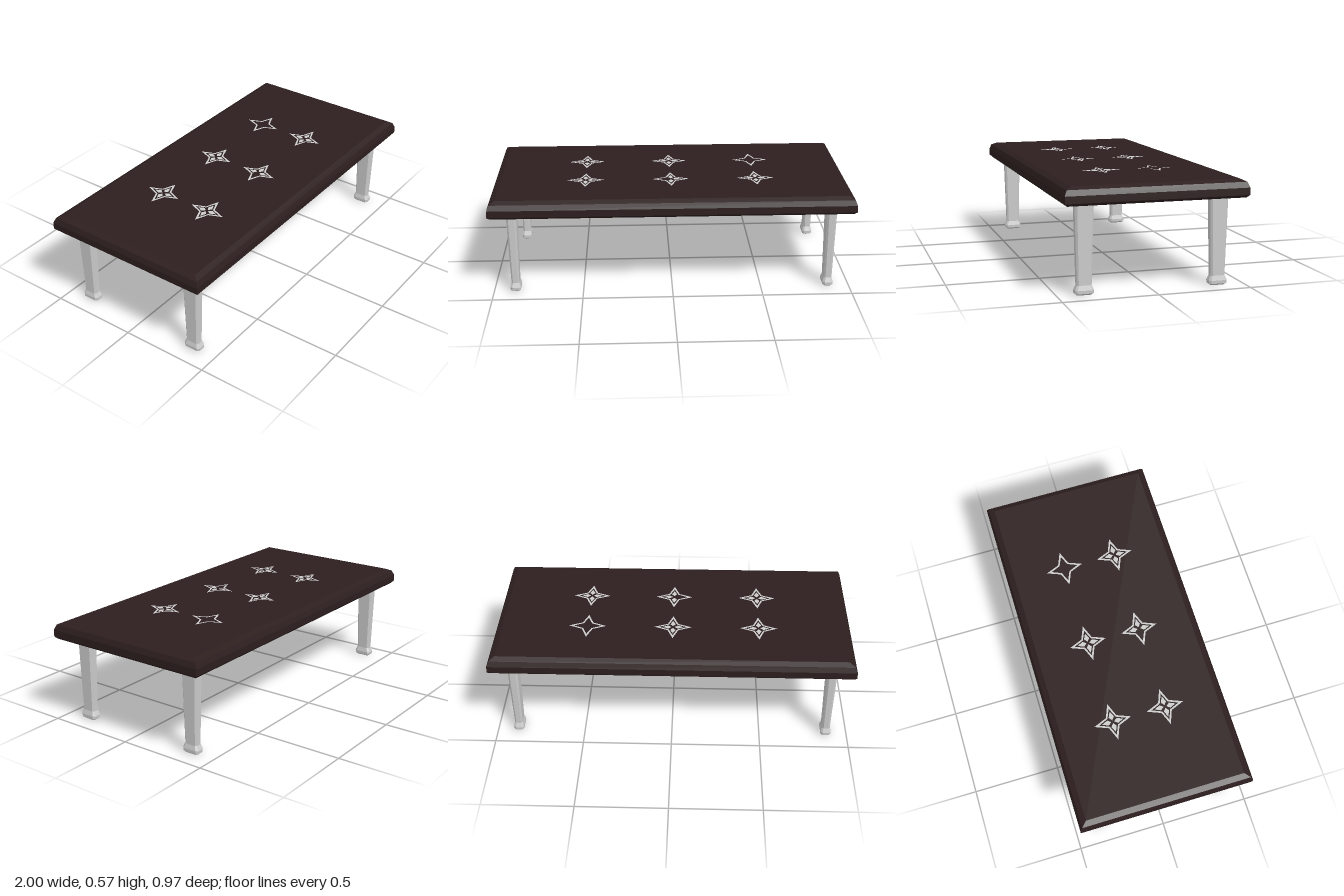
import * as THREE from 'three';

const grey = new THREE.MeshStandardMaterial({ color: 0xcccccc, flatShading: true });
const inlayGrey = new THREE.MeshStandardMaterial({ color: 0xcccccc, side: THREE.DoubleSide });
const darkWood = new THREE.MeshStandardMaterial({ color: 0x2d1e1e, flatShading: true });

// Rectangle outline with cut corners, as [x, z] points
function outline(hx, hz, cut = 0) {
  if (!cut) return [[hx, hz], [hx, -hz], [-hx, -hz], [-hx, hz]];
  return [
    [hx, hz - cut], [hx, cut - hz], [hx - cut, -hz], [cut - hx, -hz],
    [-hx, cut - hz], [-hx, hz - cut], [cut - hx, hz], [hx - cut, hz],
  ];
}

// Closed solid through stacked outlines, listed from bottom to top
function loft(levels) {
  const n = levels[0].points.length;
  const pos = levels.flatMap(({ y, points }) => points.flatMap(([x, z]) => [x, y, z]));
  const index = [];
  for (let k = 0; k < levels.length - 1; k++) {
    for (let i = 0; i < n; i++) {
      const j = (i + 1) % n, a = k * n + i, b = k * n + j;
      index.push(a, b, b + n, a, b + n, a + n);
    }
  }
  const top = (levels.length - 1) * n;
  for (let i = 1; i < n - 1; i++) {
    index.push(0, i + 1, i, top, top + i, top + i + 1);
  }
  const g = new THREE.BufferGeometry();
  g.setAttribute('position', new THREE.Float32BufferAttribute(pos, 3));
  g.setIndex(index);
  const flat = g.toNonIndexed();
  flat.computeVertexNormals();
  return flat;
}

// Four-pointed star points: tips at radius tip, valleys at (v, v)
function starPoints(tip, v) {
  const pts = [];
  for (let i = 0; i < 4; i++) {
    const a = i * Math.PI / 2;
    pts.push(new THREE.Vector2(Math.cos(a) * tip, Math.sin(a) * tip));
    const d = a + Math.PI / 4, r = v * Math.SQRT2;
    pts.push(new THREE.Vector2(Math.cos(d) * r, Math.sin(d) * r));
  }
  return pts;
}

function flatShape(shape) {
  return new THREE.ShapeGeometry(shape).rotateX(-Math.PI / 2);
}

export function createModel() {
  const model = new THREE.Group();
  model.name = 'coffeeTable';

  // Table top with bevelled edges: [y, inset]
  const edge = [[0.47, 0.014], [0.484, 0], [0.522, 0], [0.551, 0.012], [0.565, 0.042]];
  const top = new THREE.Mesh(
    loft(edge.map(([y, d]) => ({ y, points: outline(1 - d, 0.485 - d) }))), darkWood);
  top.name = 'tableTop';
  model.add(top);

  // Tapered legs with flared feet: [y, half width, half depth]
  const profile = [
    [0, 0.02, 0.038], [0.008, 0.028, 0.049], [0.025, 0.029, 0.05],
    [0.05, 0.022, 0.039], [0.475, 0.028, 0.05],
  ];
  const legGeometry = loft(profile.map(([y, hx, hz]) => ({ y, points: outline(hx, hz, hx * 0.4) })));
  for (const sx of [-1, 1]) {
    for (const sz of [-1, 1]) {
      const leg = new THREE.Mesh(legGeometry, grey);
      leg.name = `${sz > 0 ? 'front' : 'back'}${sx > 0 ? 'Left' : 'Right'}Leg`;
      leg.position.set(sx * 0.88, 0, sz * 0.36);
      model.add(leg);
    }
  }

  // Star inlays: an outlined star with up to four kites inside
  const ring = new THREE.Shape(starPoints(0.105, 0.03));
  ring.holes.push(new THREE.Path(starPoints(0.077, 0.023).reverse()));
  const ringGeometry = flatShape(ring);
  const kiteGeometry = flatShape(new THREE.Shape(
    [[0.008, 0], [0.027, -0.015], [0.06, 0], [0.027, 0.015]].map(p => new THREE.Vector2(...p))));

  for (const x of [-0.48, 0, 0.48]) {
    for (const z of [-0.15, 0.15]) {
      const star = new THREE.Group();
      star.name = 'starInlay';
      star.position.set(x, 0.5665, z);
      const border = new THREE.Mesh(ringGeometry, inlayGrey);
      border.name = 'starBorder';
      star.add(border);
      for (let i = 0; i < 4; i++) {
        // One star is empty and another lacks its -x kite
        if (x > 0 && z < 0) continue;
        if (x === 0 && z > 0 && i === 2) continue;
        const kite = new THREE.Mesh(kiteGeometry, inlayGrey);
        kite.name = 'starKite';
        kite.rotation.y = i * Math.PI / 2;
        star.add(kite);
      }
      model.add(star);
    }
  }
  return model;
}
